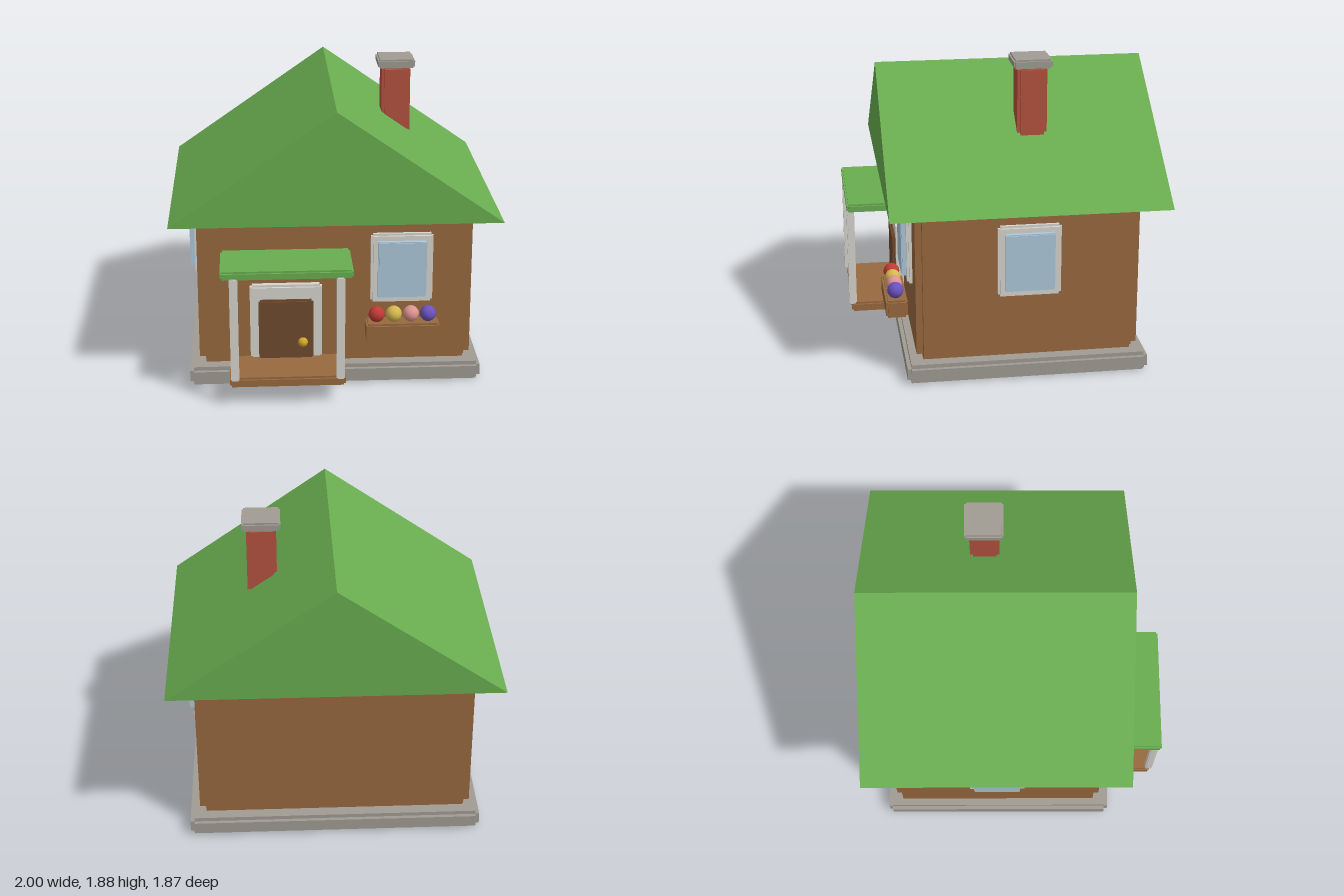
import * as THREE from 'three';
import { mergeGeometries } from 'three/addons/utils/BufferGeometryUtils.js';

const COLORS = {
  wall: 0x98693f, roof: 0x69ad50, brick: 0xb4523f, stone: 0xa09c93, trim: 0xd8d5cf,
  glass: 0xaec8da, door: 0x704a2e, brass: 0xd0a828,
};
const materials = {};
const material = (color) => (materials[color] ??= new THREE.MeshStandardMaterial({ color }));

function addMesh(parent, name, geometry, color) {
  const mesh = new THREE.Mesh(geometry, material(color));
  mesh.name = name;
  parent.add(mesh);
  return mesh;
}

// Block with notched edges: three crossing boxes, each full size along one axis.
// Extents are given as [min, max] pairs, step is the depth of the notch.
function addBlock(parent, name, color, x, y, z, step) {
  const size = [x, y, z].map(([a, b]) => b - a);
  const boxes = [0, 1, 2].map((axis) =>
    new THREE.BoxGeometry(...size.map((s, i) => (i === axis ? s : s - 2 * step))));
  const mesh = addMesh(parent, name, mergeGeometries(boxes), color);
  mesh.position.set(...[x, y, z].map(([a, b]) => (a + b) / 2));
  return mesh;
}

function addBall(parent, name, color, radius, x, y, z) {
  addMesh(parent, name, new THREE.SphereGeometry(radius, 12, 8), color).position.set(x, y, z);
}

// Window facing +z, with its back on the wall plane
function makeWindow(name) {
  const group = new THREE.Group();
  group.name = name;
  addBlock(group, 'windowFrame', COLORS.trim, [-0.19, 0.19], [-0.222, 0.222], [-0.03, 0.032], 0.014);
  addBlock(group, 'windowGlass', COLORS.glass, [-0.148, 0.148], [-0.179, 0.179], [0, 0.062], 0.006);
  return group;
}

export function createModel() {
  const house = new THREE.Group();
  house.name = 'house';

  // Base and walls
  addBlock(house, 'plinth', COLORS.stone, [-0.9, 0.9], [0, 0.117], [-0.835, 0.632], 0.024);
  addBlock(house, 'walls', COLORS.wall, [-0.84, 0.84], [0.115, 1.073], [-0.778, 0.57], 0.04);

  // Gable roof
  const gable = new THREE.Shape();
  gable.moveTo(-1, 1.072);
  gable.lineTo(1, 1.072);
  gable.lineTo(0, 1.767);
  gable.closePath();
  const roofGeometry = new THREE.ExtrudeGeometry(gable, { depth: 1.663, bevelEnabled: false });
  addMesh(house, 'roof', roofGeometry, COLORS.roof).position.z = -0.935;

  // Chimney
  addBlock(house, 'chimney', COLORS.brick, [0.33, 0.51], [1.2, 1.83], [-0.263, -0.083], 0.018);
  addBlock(house, 'chimneyCap', COLORS.stone, [0.304, 0.536], [1.825, 1.88], [-0.29, -0.056], 0.011);

  // Windows on the front and both sides
  const frontWindow = makeWindow('frontWindow');
  frontWindow.position.set(0.404, 0.744, 0.57);
  house.add(frontWindow);
  for (const side of [-1, 1]) {
    const sideWindow = makeWindow(side > 0 ? 'leftWindow' : 'rightWindow');
    sideWindow.position.set(side * 0.84, 0.747, -0.105);
    sideWindow.rotation.y = side * Math.PI / 2;
    house.add(sideWindow);
  }

  // Flower box
  addBlock(house, 'flowerBox', COLORS.wall, [0.18, 0.626], [0.319, 0.43], [0.603, 0.735], 0.012);
  [0xc23a36, 0xd6b850, 0xdc9490, 0x6c52c0].forEach((color, i) =>
    addBall(house, 'flower', color, 0.05, 0.246 + i * 0.1045, 0.477, 0.673));

  // Door
  addBlock(house, 'doorFrame', COLORS.trim, [-0.524, -0.083], [0.012, 0.652], [0.55, 0.617], 0.014);
  addBlock(house, 'door', COLORS.door, [-0.472, -0.138], [0, 0.563], [0.57, 0.637], 0.011);
  addBall(house, 'doorKnob', COLORS.brass, 0.031, -0.203, 0.285, 0.637);

  // Porch
  addBlock(house, 'porchFloor', COLORS.wall, [-0.65, 0.044], [0.121, 0.182], [0.585, 0.918], 0.012);
  for (const x of [-0.618, 0.013])
    addBlock(house, 'porchPost', COLORS.trim, [x - 0.025, x + 0.025], [0.17, 0.825], [0.886, 0.934], 0.007);
  addBlock(house, 'porchRoof', COLORS.roof, [-0.696, 0.088], [0.818, 0.87], [0.55, 0.935], 0.011);

  return house;
}
